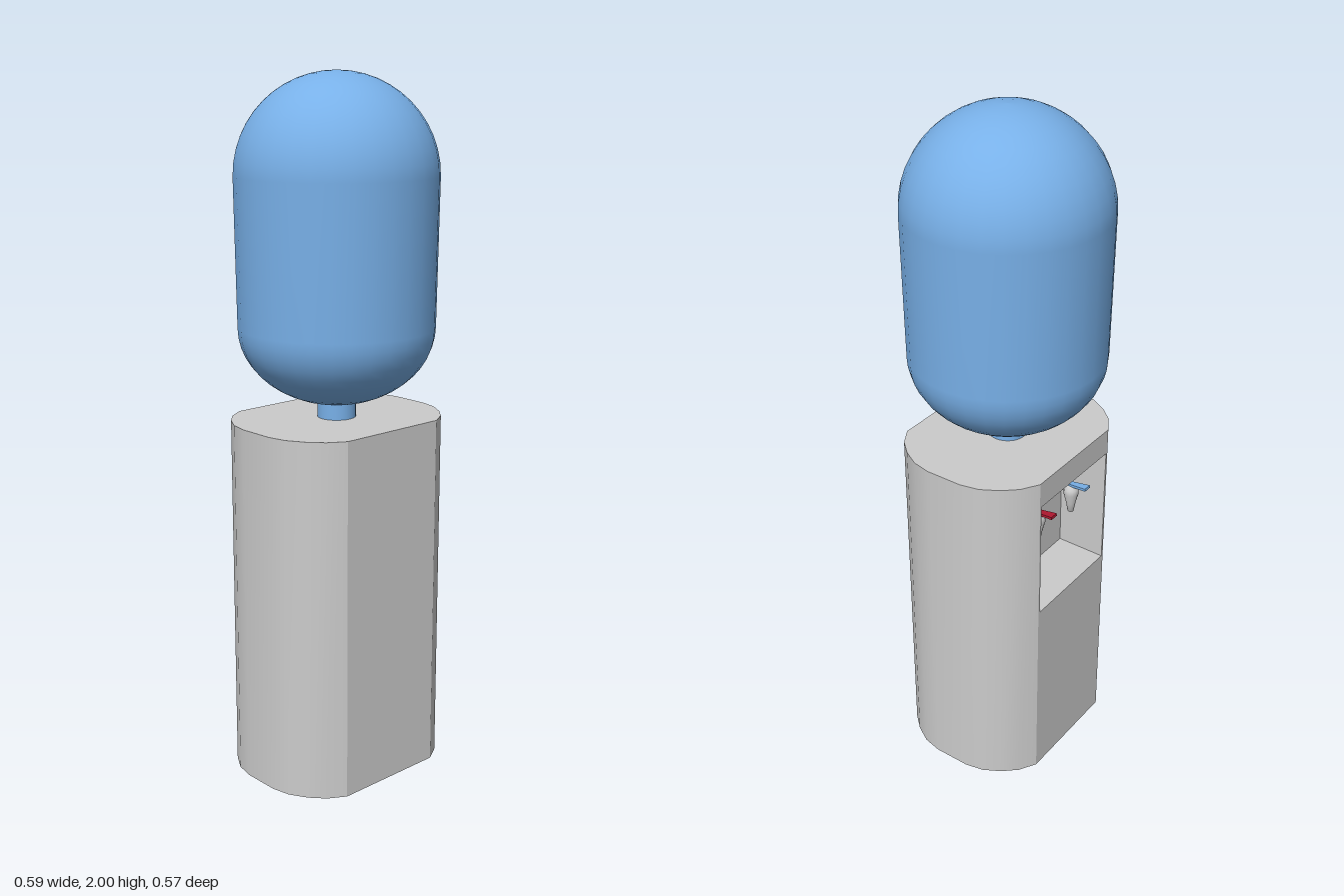
import * as THREE from 'three';
import { toCreasedNormals } from 'three/addons/utils/BufferGeometryUtils.js';

const H = 1.045, FLAT = 0.17, BACK = 0.23;
const NICHE = { w: 0.163, y0: 0.6, y1: 0.967, depth: 0.15 };

const paint = (color) => new THREE.MeshStandardMaterial({ color });
const grey = paint(0xcccccc);
const blue = paint(0x78b0e8);

function part(name, geometry, material, parent) {
  const mesh = new THREE.Mesh(geometry, material);
  mesh.name = name;
  parent.add(mesh);
  return mesh;
}

// Plan of the cabinet: flat front and back, rounded sides, from back left round to back right
function outline() {
  const quarter = [[FLAT, BACK], [0.22, 0.2], [0.256, 0.16], [0.285, 0.11], [0.297, 0.055]];
  const left = [
    ...quarter.map(([x, z]) => [x, -z]),
    ...[...quarter].reverse(),
  ];
  return [...left, ...[...left].reverse().map(([x, z]) => [-x, z])];
}

// Vertical wall along the plan, left open at the back
function wallGeometry(points) {
  const pos = [];
  for (let i = 0; i < points.length - 1; i++) {
    const [ax, az] = points[i], [bx, bz] = points[i + 1];
    pos.push(ax, 0, az, ax, H, az, bx, 0, bz);
    pos.push(ax, H, az, bx, H, bz, bx, 0, bz);
  }
  const g = new THREE.BufferGeometry();
  g.setAttribute('position', new THREE.Float32BufferAttribute(pos, 3));
  return toCreasedNormals(g, 0.5);
}

function createCabinet() {
  const cabinet = new THREE.Group();
  cabinet.name = 'cabinet';
  const points = outline();
  part('cabinetWall', wallGeometry(points), grey, cabinet);

  const plan = new THREE.Shape(points.map(([x, z]) => new THREE.Vector2(x, z)));
  part('cabinetTop', new THREE.ShapeGeometry(plan).rotateX(-Math.PI / 2).translate(0, H, 0), grey, cabinet);
  part('cabinetBase', new THREE.ShapeGeometry(plan).rotateX(Math.PI / 2), grey, cabinet);

  // Back panel with the opening of the niche
  const rect = (C, w, y0, y1) => new C([[-w, y0], [w, y0], [w, y1], [-w, y1]].map((p) => new THREE.Vector2(...p)));
  const panel = rect(THREE.Shape, FLAT, 0, H);
  panel.holes.push(rect(THREE.Path, NICHE.w, NICHE.y0, NICHE.y1));
  part('backPanel', new THREE.ShapeGeometry(panel).rotateY(Math.PI).translate(0, 0, -BACK), grey, cabinet);

  // Niche: inside of a box without its outer face (the last six indices)
  const box = new THREE.BoxGeometry(NICHE.w * 2, NICHE.y1 - NICHE.y0, NICHE.depth);
  box.setIndex([...box.index.array].slice(0, 30));
  box.clearGroups();
  box.translate(0, (NICHE.y0 + NICHE.y1) / 2, -BACK + NICHE.depth / 2);
  const inside = paint(0xcccccc);
  inside.side = THREE.DoubleSide;
  part('niche', box, inside, cabinet);
  return cabinet;
}

// Tap: tapered spout, pipe to the niche wall and a coloured lever pointing outwards
function createTap(name, x, color) {
  const tap = new THREE.Group();
  tap.name = name;
  const profile = [[0, -0.05], [0.009, -0.05], [0.014, -0.02], [0.022, 0.012], [0.021, 0.028], [0.012, 0.04], [0, 0.042]];
  part('spout', new THREE.LatheGeometry(profile.map((p) => new THREE.Vector2(...p)), 16), grey, tap);
  const pipe = part('pipe', new THREE.CylinderGeometry(0.008, 0.008, 0.085, 12), grey, tap);
  pipe.rotation.x = Math.PI / 2;
  pipe.position.set(0, 0.02, 0.0425);

  const shape = new THREE.Shape([[-0.008, 0.012], [0.008, 0.012], [0.013, -0.055], [-0.013, -0.055]].map((p) => new THREE.Vector2(...p)));
  const lever = part('lever', new THREE.ExtrudeGeometry(shape, { depth: 0.008, bevelEnabled: false }).rotateX(Math.PI / 2), paint(color), tap);
  lever.position.y = 0.046;
  lever.rotation.x = 0.12;
  tap.position.set(x, 0.837, -0.165);
  return tap;
}

function createBottle() {
  const bottle = new THREE.Group();
  bottle.name = 'bottle';
  // Rounded base, slightly widening wall and domed top
  const profile = [];
  const steps = 12;
  for (let i = 0; i <= steps; i++) {
    const a = (i / steps) * Math.PI / 2;
    profile.push(new THREE.Vector2(0.278 * Math.sin(a), 1.305 - 0.22 * Math.cos(a)));
  }
  for (let i = 0; i <= steps; i++) {
    const a = (i / steps) * Math.PI / 2;
    profile.push(new THREE.Vector2(Math.max(0, 0.284 * Math.cos(a)), 1.72 + 0.28 * Math.sin(a)));
  }
  part('bottleBody', new THREE.LatheGeometry(profile, 32), blue, bottle);
  part('bottleNeck', new THREE.CylinderGeometry(0.055, 0.055, 0.06, 32, 1, true).translate(0, H + 0.03, 0), blue, bottle);
  return bottle;
}

export function createModel() {
  const model = new THREE.Group();
  model.name = 'waterDispenser';
  model.add(createCabinet(), createBottle());
  model.add(createTap('hotTap', 0.085, 0xb01830), createTap('coldTap', -0.085, 0x78b0e8));
  return model;
}
